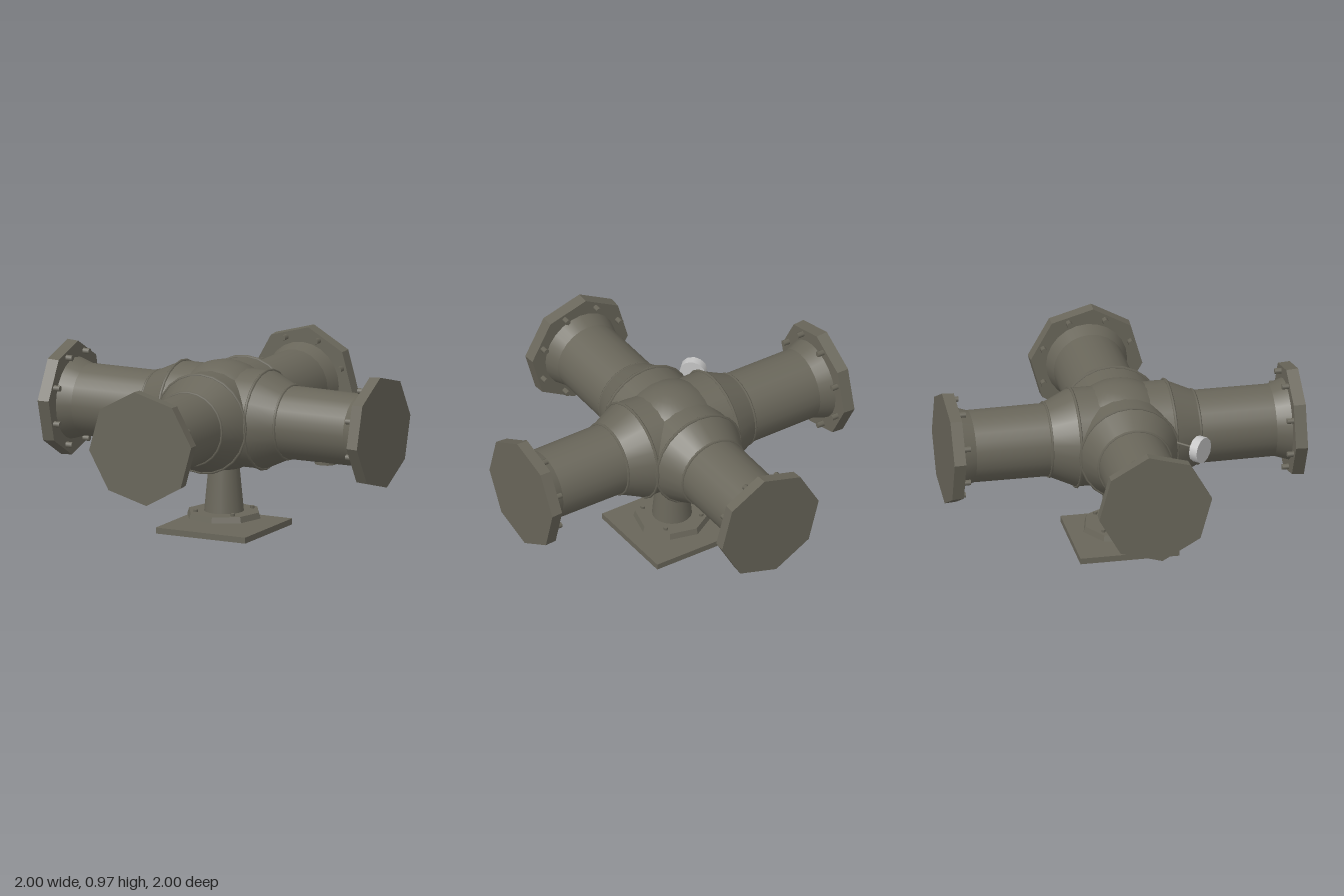
import * as THREE from 'three';

const steel = new THREE.MeshStandardMaterial({ color: 0x69665a });
steel.name = 'olive grey steel';
const pale = new THREE.MeshStandardMaterial({ color: 0xc4c4c4 });
pale.name = 'pale grey gauge';

const AXIS_Y = 0.65; // height of the pipe centre lines

function add(parent, name, geometry, material, x = 0, y = 0, z = 0) {
  const mesh = new THREE.Mesh(geometry, material);
  mesh.name = name;
  mesh.position.set(x, y, z);
  parent.add(mesh);
  return mesh;
}

// Smooth tube section, with its ends given as distances along the axis
function section(r0, y0, r1, y1, sides = 24) {
  const g = new THREE.CylinderGeometry(r1, r0, y1 - y0, sides, 1, true);
  return g.translate(0, (y0 + y1) / 2, 0);
}

// Faceted disc, as used for every flange
function flange(r0, r1, y0, y1, turn) {
  const g = new THREE.CylinderGeometry(r1, r0, y1 - y0, 8).toNonIndexed();
  g.computeVertexNormals();
  return g.rotateY(turn).translate(0, (y0 + y1) / 2, 0);
}

// One arm of the cross, built along +y and then laid down
function createArm(name) {
  const arm = new THREE.Group();
  arm.name = name;
  add(arm, 'hubSleeve', section(0.275, 0, 0.275, 0.27), steel);
  add(arm, 'reducer', section(0.277, 0.27, 0.208, 0.42), steel);
  add(arm, 'pipe', section(0.204, 0.42, 0.202, 0.86), steel);
  add(arm, 'weldNeck', section(0.202, 0.85, 0.23, 0.935), steel);
  for (const [r, y] of [[0.277, 0.27], [0.206, 0.42]]) {
    const bead = new THREE.TorusGeometry(r, 0.009, 5, 24).rotateX(Math.PI / 2);
    add(arm, 'weldBead', bead, steel, 0, y, 0);
  }
  add(arm, 'endFlange', flange(0.318, 0.322, 0.933, 1, 0.12), steel);
  for (let i = 0; i < 8; i++) {
    const a = (i + 0.5) * Math.PI / 4;
    const bolt = new THREE.CylinderGeometry(0.017, 0.017, 0.04, 6);
    add(arm, 'flangeBolt', bolt, steel, 0.267 * Math.cos(a), 0.915, 0.267 * Math.sin(a));
  }
  arm.rotation.x = Math.PI / 2;
  return arm;
}

export function createModel() {
  const model = new THREE.Group();
  model.name = 'pipeCross';

  // Four arms around a rounded hub
  ['frontArm', 'leftArm', 'backArm', 'rightArm'].forEach((name, i) => {
    const pivot = new THREE.Group();
    pivot.name = name + 'Pivot';
    pivot.position.y = AXIS_Y;
    pivot.rotation.y = i * Math.PI / 2;
    pivot.add(createArm(name));
    model.add(pivot);
  });
  add(model, 'hub', new THREE.SphereGeometry(0.31, 28, 18), steel, 0, AXIS_Y, 0);

  // Support stand
  add(model, 'standColumn', section(0.112, 0.1, 0.085, 0.38, 20), steel);
  add(model, 'standFlange', flange(0.215, 0.205, 0.075, 0.108, 0.15), steel);
  for (let i = 0; i < 4; i++) {
    const a = (i + 0.5) * Math.PI / 2;
    const bolt = new THREE.CylinderGeometry(0.012, 0.012, 0.016, 6);
    add(model, 'standBolt', bolt, steel, 0.165 * Math.cos(a), 0.114, 0.165 * Math.sin(a));
  }
  add(model, 'basePlate', new THREE.BoxGeometry(0.56, 0.034, 0.56), steel, 0, 0.017, 0);

  // Drain boss under the left arm
  add(model, 'drainBoss', new THREE.CylinderGeometry(0.065, 0.065, 0.06, 10), steel, 0.64, 0.469, 0);

  // Dial gauge on a thin stem, pointing diagonally outwards
  const gauge = new THREE.Group();
  gauge.name = 'gauge';
  gauge.position.set(-0.385, 0.695, 0.375);
  gauge.rotation.y = -Math.PI / 4;
  const dial = new THREE.CylinderGeometry(0.074, 0.074, 0.05, 12).rotateX(Math.PI / 2);
  add(gauge, 'gaugeDial', dial, pale);
  const stem = new THREE.CylinderGeometry(0.007, 0.007, 0.2, 6).rotateX(Math.PI / 2);
  add(gauge, 'gaugeStem', stem, steel, 0, 0, -0.12);
  model.add(gauge);

  return model;
}
